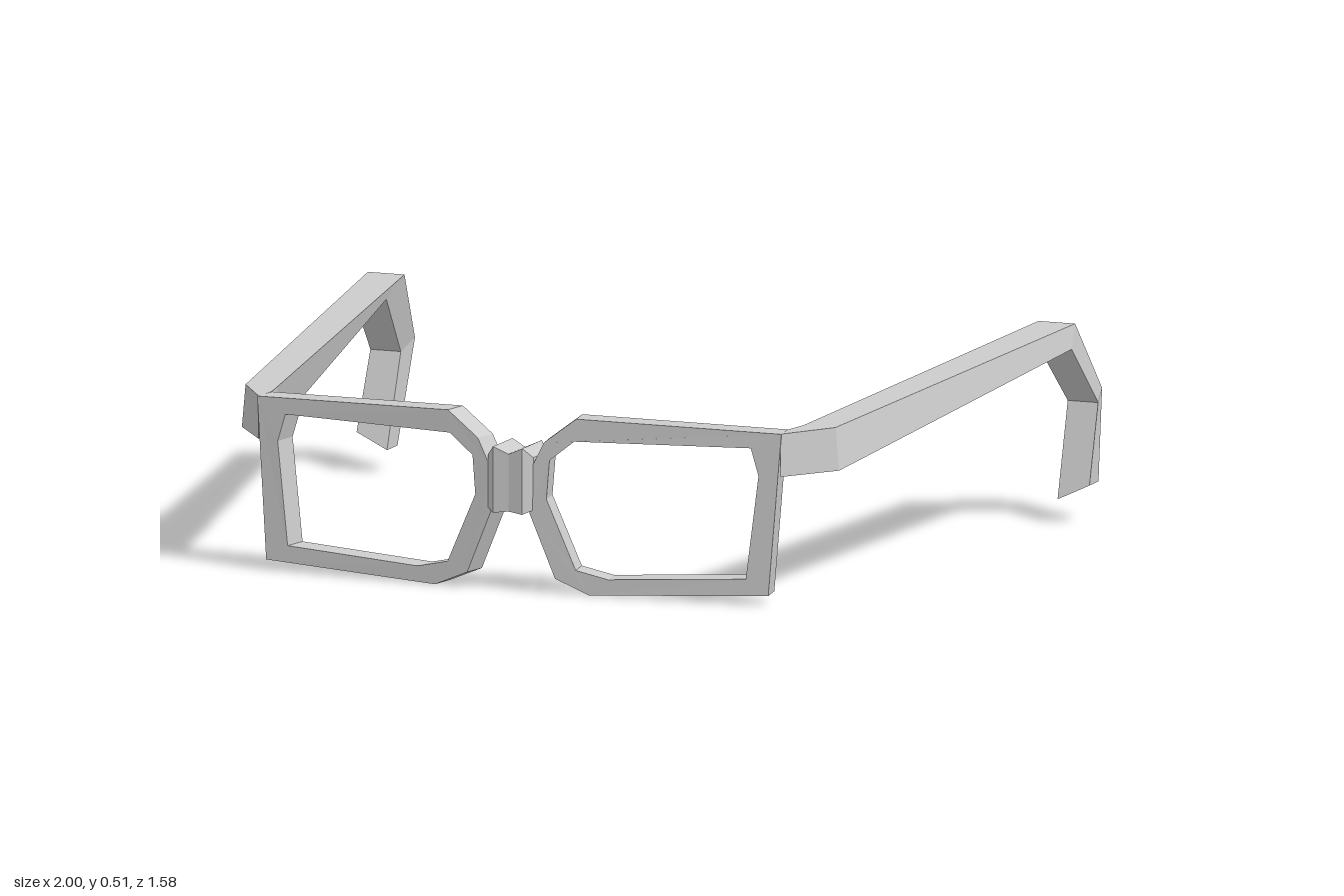
import * as THREE from 'three';

// Hard edges come from the per-face normals of the geometries
const material = new THREE.MeshStandardMaterial({ color: 0xcccccc });

function part(name, geometry) {
  const mesh = new THREE.Mesh(geometry, material);
  mesh.name = name;
  return mesh;
}

// Joins four-cornered rings into a capped bar; corners run clockwise seen from the start.
// Each quad has one normal, taken from its diagonals.
function loft(rings) {
  const pos = [], normals = [];
  const quad = (...corners) => {
    const [a, b, c, d] = corners.map((p) => new THREE.Vector3(...p));
    const n = c.clone().sub(a).cross(d.clone().sub(b)).normalize();
    for (const v of [a, b, c, a, c, d]) {
      pos.push(v.x, v.y, v.z);
      normals.push(n.x, n.y, n.z);
    }
  };
  const first = rings[0], last = rings[rings.length - 1];
  for (let k = 0; k < rings.length - 1; k++) {
    const r = rings[k], n = rings[k + 1];
    for (let i = 0; i < 4; i++) {
      const j = (i + 1) % 4;
      quad(r[i], r[j], n[j], n[i]);
    }
  }
  quad(first[3], first[2], first[1], first[0]);
  quad(...last);
  const g = new THREE.BufferGeometry();
  g.setAttribute('position', new THREE.Float32BufferAttribute(pos, 3));
  g.setAttribute('normal', new THREE.Float32BufferAttribute(normals, 3));
  return g;
}

// Outlines of one rim and its opening
const rimOuter = [[0.715, 0.44], [0.175, 0.45], [0.09, 0.385], [0.053, 0.31], [0.053, 0.2],
  [0.12, 0.038], [0.21, 0], [0.685, 0.025]];
const rimInner = [[0.635, 0.4], [0.17, 0.392], [0.105, 0.34], [0.097, 0.24], [0.175, 0.062],
  [0.26, 0.043], [0.625, 0.065], [0.656, 0.33]];

function rim(side) {
  // Counter-clockwise on both sides, so the walls of the opening face inwards
  const points = (list) => {
    const result = list.map(([x, y]) => new THREE.Vector2(side * x, y));
    return side > 0 ? result : result.reverse();
  };
  const shape = new THREE.Shape(points(rimOuter));
  shape.holes.push(new THREE.Path(points(rimInner)));
  const depth = 0.07;
  const g = new THREE.ExtrudeGeometry(shape, { depth, bevelEnabled: false });
  // Sweep the rim back towards the temple, with a slight twist
  const p = g.attributes.position;
  for (let i = 0; i < p.count; i++) {
    const x = p.getX(i), y = p.getY(i), back = 1 - p.getZ(i) / depth;
    const front = 0.776 - Math.abs(x) * (0.09 - 0.04 * (0.44 - y));
    p.setXYZ(i, x - side * 0.012 * back, y, front - depth * back);
  }
  g.computeVertexNormals();
  return g;
}

// Temple rings: top inner, top outer, bottom outer, bottom inner
const templeRings = [
  [[0.705, 0.44, 0.642], [0.712, 0.44, 0.71], [0.712, 0.33, 0.71], [0.705, 0.33, 0.642]],
  [[0.718, 0.44, 0.57], [0.805, 0.44, 0.57], [0.815, 0.33, 0.57], [0.725, 0.33, 0.57]],
  [[0.865, 0.515, -0.635], [0.965, 0.515, -0.635], [0.98, 0.46, -0.575], [0.89, 0.46, -0.575]],
  [[0.9, 0.325, -0.79], [0.975, 0.325, -0.79], [0.993, 0.3, -0.72], [0.91, 0.3, -0.72]],
  [[0.915, 0.06, -0.71], [0.998, 0.1, -0.71], [1, 0.1, -0.645], [0.915, 0.06, -0.64]],
];

function temple(side) {
  const rings = templeRings.map((ring) => ring.map(([x, y, z]) => [side * x, y, z]));
  return loft(side > 0 ? rings : rings.map((ring) => ring.reverse()));
}

// Bridge sections: x, bottom, top, back, front
function bridge() {
  const half = [[0.062, 0.21, 0.345, 0.677, 0.77], [0.04, 0.2, 0.37, 0.66, 0.79]];
  const sections = [
    ...half.map(([x, ...rest]) => [-x, ...rest]),
    [0, 0.205, 0.352, 0.672, 0.785],
    ...half.slice().reverse(),
  ];
  return loft(sections.map(([x, y0, y1, z0, z1]) =>
    [[x, y1, z0], [x, y1, z1], [x, y0, z1], [x, y0, z0]]));
}

export function createModel() {
  const glasses = new THREE.Group();
  glasses.name = 'glasses';
  for (const [label, side] of [['left', 1], ['right', -1]]) {
    glasses.add(part(label + 'Rim', rim(side)));
    glasses.add(part(label + 'Temple', temple(side)));
  }
  glasses.add(part('bridge', bridge()));
  return glasses;
}
